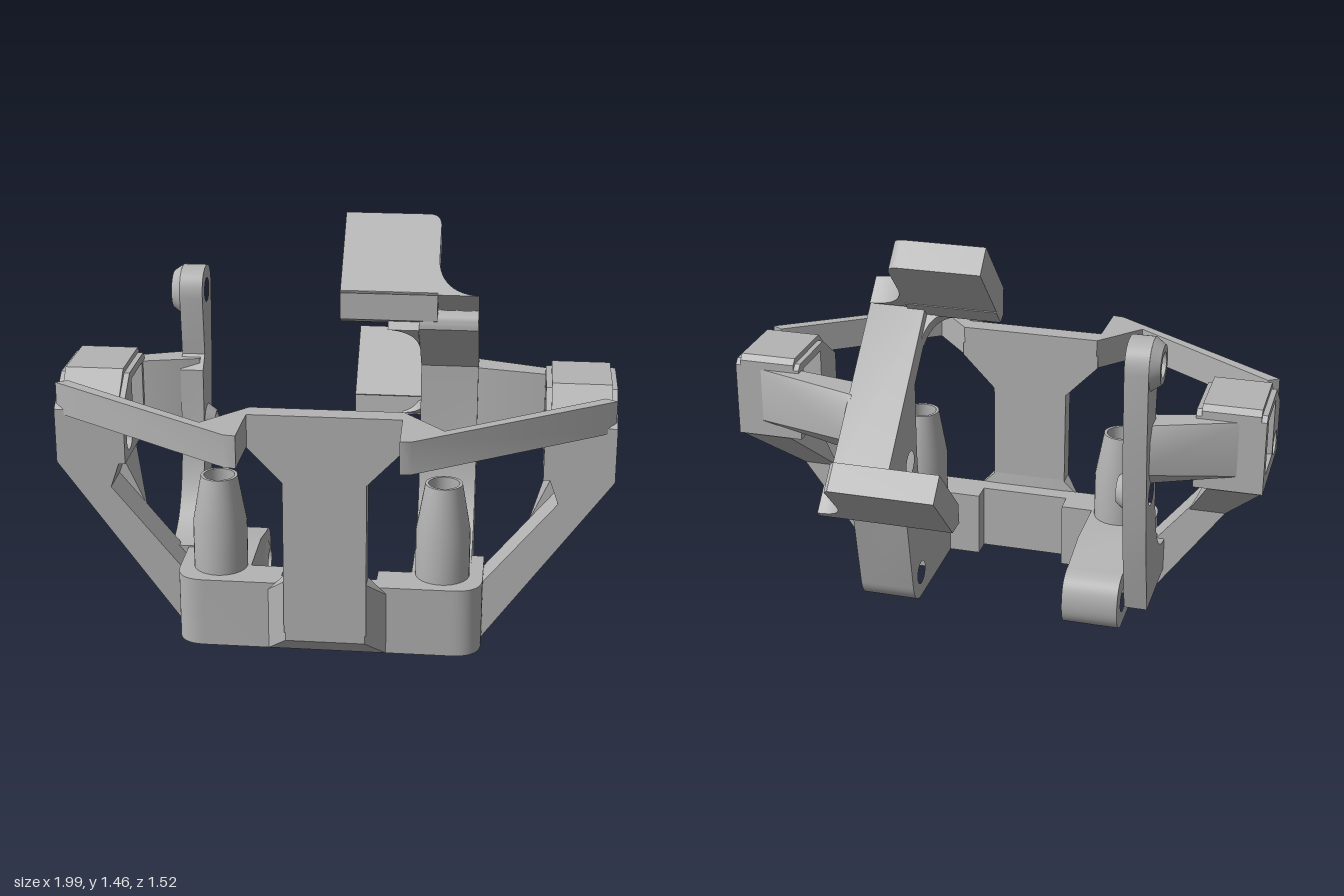
import * as THREE from 'three';
import { toCreasedNormals } from 'three/addons/utils/BufferGeometryUtils.js';
import { ConvexGeometry } from 'three/addons/geometries/ConvexGeometry.js';

const grey = new THREE.MeshStandardMaterial({ color: 0xb4b4b4 });
grey.name = 'plain grey';

export function createModel() {
  const model = new THREE.Group();
  model.name = 'bracketFrame';

  const add = (name, geometry) => {
    const mesh = new THREE.Mesh(toCreasedNormals(geometry, 0.6), grey);
    mesh.name = name;
    model.add(mesh);
  };

  // Outline from points: [x, y] is a corner, [cx, cy, x, y] a curve to x, y
  const outline = (points, holes = []) => {
    const shape = new THREE.Shape();
    points.forEach((p, i) => {
      if (i === 0) shape.moveTo(...p);
      else if (p.length === 4) shape.quadraticCurveTo(...p);
      else shape.lineTo(...p);
    });
    shape.holes.push(...holes);
    return shape;
  };
  const round = (u, v, r) => new THREE.Path().absarc(u, v, r, 0, Math.PI * 2, true);
  const extrude = (shape, depth) =>
    new THREE.ExtrudeGeometry(shape, { depth, bevelEnabled: false, curveSegments: 12 });

  // Side outlines are (z, y), plan outlines (x, z), front outlines (x, y)
  const side = (shape, xa, xb) =>
    extrude(shape, Math.abs(xb - xa)).rotateY(-Math.PI / 2).translate(Math.max(xa, xb), 0, 0);
  const plan = (shape, y0, y1) => extrude(shape, y1 - y0).rotateX(Math.PI / 2).translate(0, y1, 0);
  const front = (shape, z0, z1) => extrude(shape, z1 - z0).translate(0, 0, z0);
  const tilted = (shape, thickness, y, z, angle) =>
    extrude(shape, thickness).rotateX(angle).translate(0, y, z);
  const hull = (points) => new ConvexGeometry(points.map((p) => new THREE.Vector3(...p)));
  const lathe = (points) => new THREE.LatheGeometry(points.map((p) => new THREE.Vector2(...p)), 32);
  const flip = (points, s) => points.map((p) => p.map((v, i) => (i % 2 ? v : v * s)));

  // U-shaped base with a post hole in each ear
  const halfBase = [[0.17, 0.41], [0.17, 0.335], [0.29, 0.335], [0.29, 0.17], [0.545, 0.17],
    [0.545, 0.37], [0.545, 0.475, 0.44, 0.475]];
  const leftBase = [[-0.44, 0.475], [-0.545, 0.475, -0.545, 0.37], [-0.545, 0.17], [-0.29, 0.17],
    [-0.29, 0.335], [-0.17, 0.335], [-0.17, 0.41]];
  add('base', plan(outline([...halfBase, ...leftBase],
    [round(0.4, 0.335, 0.06), round(-0.4, 0.335, 0.06)]), 0, 0.255));

  // Front column with flared head and chamfered foot
  add('frontColumn', front(outline([[-0.145, 0.1], [0.145, 0.1], [0.145, 0.67], [0.27, 0.8],
    [0.27, 0.85], [-0.27, 0.85], [-0.27, 0.8], [-0.145, 0.67]]), 0.475, 0.55));
  add('columnFoot', hull([-1, 1].flatMap((s) => [
    [s * 0.14, 0.07, 0.55], [s * 0.14, 0.3, 0.55], [s * 0.21, 0, 0.475],
    [s * 0.21, 0.23, 0.475], [s * 0.14, 0.3, 0.475], [s * 0.21, 0, 0.45]])));

  for (const s of [1, -1]) {
    // Hollow tapered post
    add('post', lathe([[0.06, 0.25], [0.097, 0.25], [0.097, 0.43], [0.066, 0.605],
      [0.055, 0.605], [0.06, 0.43], [0.06, 0.25]]).translate(s * 0.4, 0, 0.335));

    // Half of the top rail, running forward and then back to the socket
    add('topRail', plan(outline(flip([[0, 0.475], [0.265, 0.475], [0.41, 0.64], [0.95, 0.265],
      [0.99, 0.29], [0.31, 0.75], [0.27, 0.755], [0.265, 0.55], [0, 0.55]], s)), 0.8, 0.915));

    // Socket block with square and round holes
    const square = new THREE.Path([[-0.03, 0.675], [0.15, 0.675], [0.15, 0.89], [-0.03, 0.89]]
      .map((p) => new THREE.Vector2(...p)));
    const socket = (inset) => outline([[0.31, 0.62], [0.31, 0.82], [0.19 - inset / 2, 0.94 - inset],
      [-0.06, 0.94 - inset], [-0.08, 0.92 - inset], [-0.08, 0.62]], [square, round(0.22, 0.69, 0.045)]);
    add('socketBlock', side(socket(0), s * 0.765, s * 0.975));
    add('socketLip', side(socket(0.02), s * 0.745, s * 0.765));
    add('socketLip', side(socket(0.02), s * 0.975, s * 0.995));

    // Sloping strut and the gusset under the socket
    add('strut', front(outline(flip([[0.5, 0], [0.545, 0], [0.995, 0.62], [0.995, 0.63],
      [0.765, 0.63], [0.8, 0.53], [0.53, 0.2], [0.5, 0.2]], s)), 0.17, 0.31));
    add('gusset', hull([[0.8, 0.625], [0.995, 0.625]].flatMap(([x, y]) =>
      [[s * x, y, -0.08], [s * x, y, 0.17]])
      .concat([[s * 0.7, 0.4, 0.17], [s * 0.836, 0.4, 0.17]])));

    // Arm from the socket back to the upright
    const inner = s > 0 ? 0.49 : 0.54;
    add('linkArm', hull([
      [s * 0.92, 0.68, -0.07], [s * 0.92, 0.89, -0.07], [s * 0.745, 0.66, -0.05],
      [s * 0.745, 0.89, -0.05], [s * inner, 0.66, -0.1], [s * inner, 0.89, -0.1],
      [s * inner, 0.66, -0.2], [s * inner, 0.72, -0.25], [s * inner, 0.83, -0.25],
      [s * inner, 0.89, -0.21]]));
  }

  // Full upright with its diagonal arm, on the left
  add('upright', side(outline([[0.26, 0], [-0.05, 0], [-0.13, 0, -0.15, 0.08], [-0.21, 0.38],
    [-0.235, 0.5, -0.36, 0.565], [-0.54, 0.565], [-0.475, 0.62], [0.06, 1.155],
    [0.12, 1.17, 0.12, 1.1], [-0.08, 0.9], [-0.075, 0.63], [-0.05, 0.28, 0.165, 0.26],
    [0.26, 0.255]], [round(-0.05, 0.1, 0.045), round(-0.155, 0.615, 0.045)]), 0.29, 0.5));

  // Two tilted tabs at the ends of the arm
  add('upperTab', tilted(outline([[0.01, 0.05], [0.5, 0.05], [0.365, 0.06, 0.355, 0.19],
    [0.355, 0.33], [0.355, 0.38, 0.31, 0.38], [0.01, 0.38]]), 0.11, 1.115, 0.08, -Math.PI / 4));
  add('upperTabHeel', side(outline([[0.12, 1.235], [0.12, 1.13], [0.08, 1.11], [0.02, 1.17]]), 0.01, 0.355));
  add('upperFillet', tilted(outline([[0.29, 0], [0.29, 0.13], [0.18, 0.13], [0.28, 0.12, 0.29, 0]]),
    0.05, 1.04, 0, Math.PI / 4));
  add('lowerTab', tilted(outline([[0.01, 0], [0.5, 0], [0.5, 0.03], [0.41, 0.03, 0.4, 0.12],
    [0.4, 0.29], [0.385, 0.305], [0.01, 0.305]]), 0.105, 0.565, -0.545, -Math.PI / 4));
  add('lowerTabHeel', side(outline([[-0.465, 0.565], [-0.545, 0.565], [-0.54, 0.62], [-0.475, 0.64]]), 0.01, 0.4));
  add('lowerFillet', tilted(outline([[0.2, 0], [0.29, 0], [0.29, 0.1], [0.28, 0.01, 0.2, 0]]),
    0.04, 0.6, -0.49, Math.PI / 4));

  // Short rounded lobe on the right
  add('lobe', side(outline([[0.26, 0], [-0.05, 0], [-0.16, 0, -0.16, 0.11], [-0.16, 0.22, -0.05, 0.22],
    [0.1, 0.255], [0.26, 0.255]], [round(-0.05, 0.1, 0.045)]), -0.5, -0.29));

  // Thin paddle standing on the right
  add('paddle', side(outline([[0.2, 0.13], [-0.15, 0.13], [-0.21, 0.38], [-0.245, 0.6],
    [-0.275, 0.85], [-0.295, 1.12], [-0.295, 1.222, -0.2, 1.222], [-0.105, 1.222, -0.105, 1.12],
    [-0.125, 0.9], [-0.08, 0.85], [-0.075, 0.63], [-0.05, 0.28, 0.165, 0.26], [0.2, 0.26]],
  [round(-0.2, 1.13, 0.045), round(-0.155, 0.615, 0.045)]), -0.61, -0.525));

  // Raised rings around the screw holes
  const ring = (r, h) => lathe([[0.045, 0], [r, 0], [r - 0.025, h], [0.045, h], [0.045, 0]]);
  add('paddleTopBoss', ring(0.095, 0.035).rotateZ(Math.PI / 2).translate(-0.61, 1.13, -0.2));
  add('paddleMiddleBoss', ring(0.075, 0.035).rotateZ(-Math.PI / 2).translate(-0.525, 0.615, -0.155));
  add('lobeBoss', ring(0.075, 0.012).rotateZ(-Math.PI / 2).translate(-0.29, 0.1, -0.05));

  return model;
}
